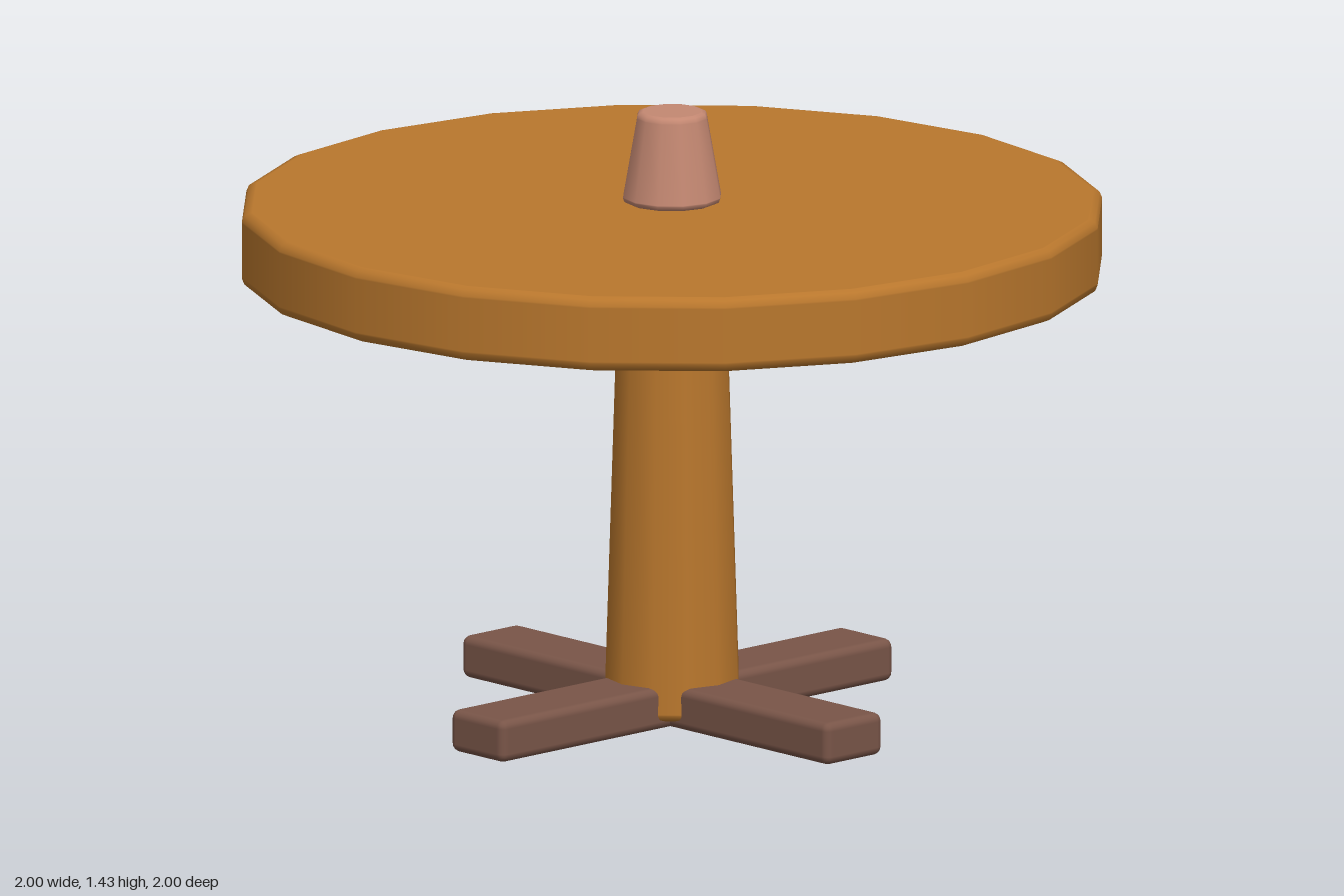
import * as THREE from 'three';
import { RoundedBoxGeometry } from 'three/addons/geometries/RoundedBoxGeometry.js';

function material(name, color) {
  const m = new THREE.MeshStandardMaterial({ color });
  m.name = name;
  return m;
}

// Solid of revolution with softly bevelled rims; r0 is the bottom radius, r1 the top.
function bevelledDrum(r0, r1, y0, y1, bevel, sides) {
  const b = bevel, k = b * 0.3;
  const points = [
    [0, y0], [r0 - b * 1.2, y0], [r0 - b, y0], [r0 - k, y0 + k], [r0, y0 + b], [r0, y0 + b * 1.2],
    [r1, y1 - b * 1.2], [r1, y1 - b], [r1 - k, y1 - k], [r1 - b, y1], [r1 - b * 1.2, y1], [0, y1],
  ].map(([x, y]) => new THREE.Vector2(x, y));
  return new THREE.LatheGeometry(points, sides);
}

export function createModel() {
  const wood = material('warm wood', 0xb9772d);
  const darkWood = material('dark wood', 0x795548);
  const clay = material('pale clay', 0xc48872);

  const model = new THREE.Group();
  model.name = 'pedestalTable';
  const add = (name, geometry, mat) => {
    const mesh = new THREE.Mesh(geometry, mat);
    mesh.name = name;
    model.add(mesh);
    return mesh;
  };

  // Round top, tapered column and the small tapered piece in the centre
  add('tabletop', bevelledDrum(1, 1, 1.045, 1.22, 0.02, 20), wood);
  add('column', bevelledDrum(0.16, 0.13, 0.02, 0.99, 0.015, 12), wood);
  add('centerpiece', bevelledDrum(0.116, 0.083, 1.22, 1.434, 0.012, 12), clay);

  // Two crossed beams form the foot
  for (let i = 0; i < 2; i++) {
    const beam = add('footBeam' + (i + 1), new RoundedBoxGeometry(1.24, 0.1, 0.18, 2, 0.02), darkWood);
    beam.position.y = 0.05;
    beam.rotation.y = i * Math.PI / 2;
  }
  return model;
}
